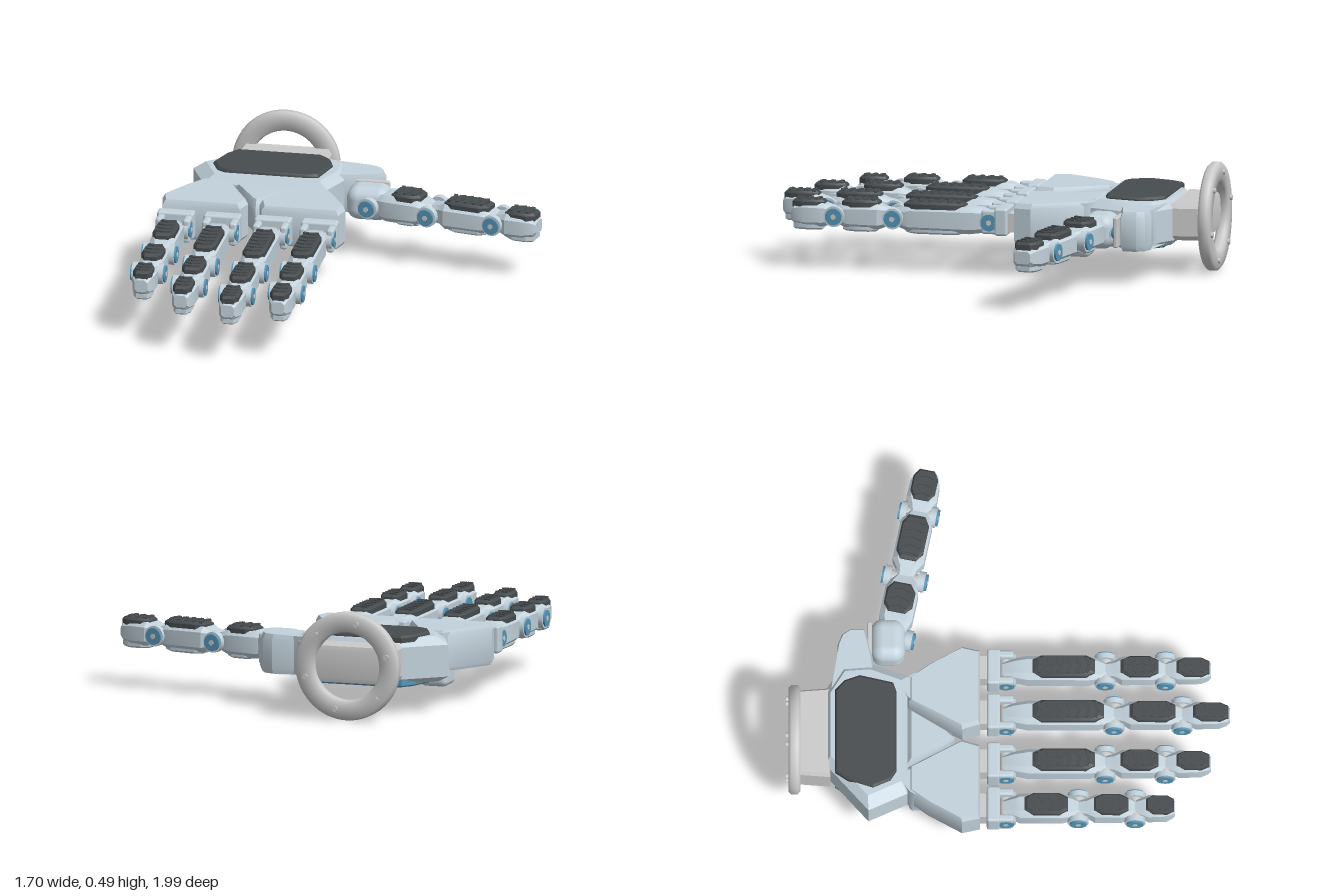
import * as THREE from 'three';
import { toCreasedNormals } from 'three/addons/utils/BufferGeometryUtils.js';
import { RoundedBoxGeometry } from 'three/addons/geometries/RoundedBoxGeometry.js';

const shell = new THREE.MeshStandardMaterial({ color: 0xc3d2dc });
const dark = new THREE.MeshStandardMaterial({ color: 0x474c4f });
const blue = new THREE.MeshStandardMaterial({ color: 0x5596b8 });
const grey = new THREE.MeshStandardMaterial({ color: 0xcccccc });

const CY = 0.245;  // height of every finger axis
const MID = -0.43; // centre line of the palm

function add(parent, name, geometry, material, x = 0, y = 0, z = 0) {
  const mesh = new THREE.Mesh(geometry, material);
  mesh.name = name;
  mesh.position.set(x, y, z);
  parent.add(mesh);
  return mesh;
}

// Closed skin over rings of [x, y, z] points, always facing outwards
function skin(rings, crease = 0.5) {
  const pos = [];
  let volume = 0;
  const v = rings.map(r => r.map(p => new THREE.Vector3(...p)));
  const tris = [];
  const tri = (a, b, c) => {
    tris.push([a, b, c]);
    volume += a.dot(new THREE.Vector3().crossVectors(b, c));
  };
  const n = v[0].length, last = v.length - 1;
  for (let i = 0; i < last; i++) {
    for (let j = 0; j < n; j++) {
      const k = (j + 1) % n;
      tri(v[i][j], v[i][k], v[i + 1][k]);
      tri(v[i][j], v[i + 1][k], v[i + 1][j]);
    }
  }
  for (let j = 1; j < n - 1; j++) {
    tri(v[0][0], v[0][j + 1], v[0][j]);
    tri(v[last][0], v[last][j], v[last][j + 1]);
  }
  for (const [a, b, c] of tris) {
    for (const p of volume < 0 ? [a, c, b] : [a, b, c]) pos.push(p.x, p.y, p.z);
  }
  const g = new THREE.BufferGeometry();
  g.setAttribute('position', new THREE.Float32BufferAttribute(pos, 3));
  return toCreasedNormals(g, crease);
}

// Upright block: [x, z] outline repeated at [y, scale] layers
function block(outline, layers) {
  const cx = outline.reduce((s, p) => s + p[0], 0) / outline.length;
  const cz = outline.reduce((s, p) => s + p[1], 0) / outline.length;
  return skin(layers.map(([y, s]) => outline.map(([x, z]) => [cx + (x - cx) * s, y, cz + (z - cz) * s])));
}

// Finger body: chamfered cross-sections [z, halfWidth, halfHeight, corner]
function body(sections) {
  return skin(sections.map(([z, w, h]) => {
    const c = Math.min(w, h) * 0.4;
    return [[w, h - c], [w - c, h], [c - w, h], [-w, h - c], [-w, c - h], [c - w, -h], [w - c, -h], [w, c - h]]
      .map(([x, y]) => [x, y, z]);
  }));
}

function octagon(w, z0, z1) {
  const c = Math.min(0.04, (z1 - z0) * 0.25), e = w * 0.6;
  return [[-e, z0], [e, z0], [w, z0 + c], [w, z1 - c], [e, z1], [-e, z1], [-w, z1 - c], [-w, z0 + c]];
}

function axleCylinder(r, length, sides = 24) {
  return new THREE.CylinderGeometry(r, r, length, sides).rotateZ(Math.PI / 2);
}

// Gripping pad with raised chevron ribs, and a pale pad underneath
function pads(parent, w, z0, z1, top) {
  const outline = octagon(w, z0, z1);
  add(parent, 'gripPad', block(outline, [[top - 0.035, 1], [top - 0.01, 1], [top, 0.86]]), dark);
  const count = Math.max(3, Math.round((z1 - z0) / 0.045));
  for (let i = 0; i < count; i++) {
    const z = z0 + (z1 - z0) * (i + 0.75) / (count + 0.5);
    for (const s of [-1, 1]) {
      const rib = add(parent, 'gripRib', new THREE.BoxGeometry(w * 0.7, 0.012, 0.016), dark, s * w * 0.36, top, z);
      rib.rotation.y = s * 0.3;
    }
  }
  add(parent, 'underPad', block(outline, [[-0.068, 0.8], [-0.06, 0.95], [-0.04, 0.95]]), shell);
}

// Hinge across the finger: axle, two ears and blue caps
function hinge(parent, z, half) {
  add(parent, 'hingeAxle', axleCylinder(0.03, half * 1.5), grey, 0, 0, z);
  for (const s of [-1, 1]) {
    add(parent, 'hingeEar', axleCylinder(0.047, half * 0.3), shell, s * half * 0.74, 0, z);
    add(parent, 'hingeCap', axleCylinder(0.038, half * 0.14), blue, s * half * 0.92, 0, z);
    add(parent, 'hingePin', axleCylinder(0.012, half * 0.06, 12), grey, s * half * 0.99, 0, z);
  }
}

// Three-segment finger along +z with hinges at 0, j1 and j2
function finger(name, j1, j2, tip, w = 1, firstPad = 0.1) {
  const g = new THREE.Group();
  g.name = name;
  const a = 0.058 * w, half = 0.08 * w;
  add(g, 'lowerSegment', body([[-0.03, a * 0.55, 0.035], [0.025, a * 0.8, 0.055], [firstPad - 0.02, a, 0.062],
    [j1 - 0.07, a, 0.06], [j1 - 0.03, a * 0.85, 0.045], [j1 + 0.01, a * 0.5, 0.035]]), shell);
  pads(g, 0.05 * w, firstPad, j1 - 0.045, 0.077);
  add(g, 'middleSegment', body([[j1 - 0.01, a * 0.5, 0.035], [j1 + 0.04, a * 0.62, 0.045], [j1 + 0.075, a * 0.95, 0.058],
    [j2 - 0.06, a * 0.95, 0.056], [j2 - 0.025, a * 0.8, 0.045], [j2 + 0.01, a * 0.5, 0.033]]), shell);
  pads(g, 0.047 * w, j1 + 0.07, j2 - 0.03, 0.075);
  add(g, 'fingertip', body([[j2 - 0.01, a * 0.5, 0.033], [j2 + 0.03, a * 0.7, 0.045], [j2 + 0.06, a * 0.92, 0.054],
    [tip - 0.06, a * 0.88, 0.054], [tip - 0.015, a * 0.68, 0.044], [tip, a * 0.5, 0.028]]), shell);
  pads(g, 0.043 * w, j2 + 0.05, tip - 0.006, 0.068);
  hinge(g, -0.015, half);
  hinge(g, j1, half);
  hinge(g, j2, 0.08 * (1 + w) / 2);
  return g;
}

export function createModel() {
  const hand = new THREE.Group();
  hand.name = 'mechanicalHand';

  // Wrist: rounded mounting ring with bolts, and a flat neck
  const ringProfile = [[0.155, -0.015], [0.165, -0.027], [0.232, -0.027], [0.245, -0.015],
    [0.245, 0.015], [0.232, 0.027], [0.165, 0.027], [0.155, 0.015], [0.155, -0.015]]
    .map(p => new THREE.Vector2(...p));
  const ring = new THREE.LatheGeometry(ringProfile, 64).rotateX(Math.PI / 2);
  add(hand, 'wristRing', toCreasedNormals(ring, 0.9), grey, MID, CY, -0.963);
  for (let i = 0; i < 6; i++) {
    const t = (i + 0.5) * Math.PI / 3 + 0.25;
    add(hand, 'ringBolt', new THREE.CylinderGeometry(0.012, 0.012, 0.02, 12).rotateX(Math.PI / 2), grey,
      MID + Math.cos(t) * 0.2, CY + Math.sin(t) * 0.2, -0.99);
  }
  const neck = [[-0.2, -0.955], [0.2, -0.955], [0.212, -0.8], [-0.212, -0.8]].map(([x, z]) => [MID + 0.01 + x, z]);
  add(hand, 'wristNeck', block(neck, [[0.165, 0.94], [0.185, 1], [0.31, 1], [0.33, 0.94]]), grey);

  // Palm body with a dark back plate and a blue underside plate
  const palm = [[-0.57, -0.825], [-0.22, -0.825], [-0.1, -0.75], [-0.09, -0.62], [-0.15, -0.455],
    [-0.71, -0.455], [-0.79, -0.63]];
  add(hand, 'palm', block(palm, [[0.14, 0.88], [0.165, 1], [0.31, 1], [0.347, 0.86]]), shell);
  const plate = [[-0.62, -0.78], [-0.23, -0.78], [-0.185, -0.74], [-0.16, -0.67], [-0.195, -0.52], [-0.24, -0.505],
    [-0.62, -0.505], [-0.66, -0.53], [-0.695, -0.61], [-0.66, -0.72]];
  add(hand, 'backPlate', block(plate, [[0.33, 1], [0.352, 1], [0.362, 0.96]]), dark);
  add(hand, 'palmPlate', block(plate, [[0.128, 0.96], [0.135, 1], [0.17, 1]]), blue);

  // Wedge between the two knuckle blocks
  add(hand, 'centreWedge', block([[-0.58, -0.47], [-0.28, -0.47], [-0.41, -0.26], [-0.43, -0.245], [-0.45, -0.26]],
    [[0.17, 0.9], [0.19, 1], [0.28, 1], [0.32, 0.75]]), shell);

  // Knuckle blocks, each carrying two fingers
  for (const s of [-1, 1]) {
    const outline = [[0.155, -0.45], [0.27, -0.45], [0.335, -0.36], [0.418, -0.21], [0.4, -0.13], [0.05, -0.13],
      [0.026, -0.21]].map(([x, z]) => [MID + s * x, z]);
    add(hand, 'knuckleBlock', block(outline, [[0.155, 0.95], [0.17, 1], [0.315, 1], [0.338, 0.93]]), shell);
    const x = MID + s * 0.222;
    add(hand, 'knucklePivot', new THREE.CylinderGeometry(0.07, 0.07, 0.2, 32), shell, x, 0.23, -0.4);
    add(hand, 'pivotFoot', new RoundedBoxGeometry(0.128, 0.09, 0.135, 3, 0.025), shell, x, 0.127, -0.383);
    add(hand, 'footInset', new THREE.BoxGeometry(0.06, 0.03, 0.006), grey, x, 0.125, -0.315);
  }

  // Four fingers: x, hinges and tip
  const fingers = [['littleFinger', -0.757, 0.31, 0.565, 0.745], ['ringFinger', -0.545, 0.43, 0.7, 0.905],
    ['middleFinger', -0.313, 0.47, 0.775, 0.99], ['indexFinger', -0.1, 0.43, 0.7, 0.905]];
  for (const [name, x, j1, j2, tip] of fingers) {
    const g = finger(name, j1, j2, tip, 1, name === 'littleFinger' ? 0.07 : 0.105);
    g.position.set(x, CY, 0);
    add(g, 'fingerLink', new THREE.BoxGeometry(0.11, 0.085, 0.07), grey, 0, 0, -0.12);
    add(g, 'fingerSocket', new RoundedBoxGeometry(0.168, 0.125, 0.06, 2, 0.012), shell, 0, 0.005, -0.07);
    for (const s of [-1, 1]) {
      add(g, 'socketCheek', new RoundedBoxGeometry(0.034, 0.11, 0.085, 2, 0.012), shell, s * 0.062, 0.003, -0.022);
    }
    hand.add(g);
  }

  // Thumb mount on the palm side, its swivel and the thumb itself
  add(hand, 'thumbMount', block([[-0.24, -0.81], [-0.1, -0.755], [0, -0.77], [0.05, -0.75], [0.075, -0.715],
    [0.075, -0.645], [-0.07, -0.61], [-0.15, -0.6]], [[0.155, 0.9], [0.18, 1], [0.305, 1], [0.335, 0.88]]), shell);
  add(hand, 'swivelPlate', new RoundedBoxGeometry(0.2, 0.14, 0.022, 2, 0.008), grey, 0.01, CY, -0.627);
  add(hand, 'thumbSwivel', new RoundedBoxGeometry(0.2, 0.155, 0.155, 5, 0.055), shell, 0.035, CY, -0.543);
  const thumb = finger('thumb', 0.272, 0.585, 0.785, 1.3, 0.085);
  thumb.position.set(0.073, CY, -0.523);
  thumb.rotation.y = THREE.MathUtils.degToRad(78.5);
  hand.add(thumb);

  return hand;
}
